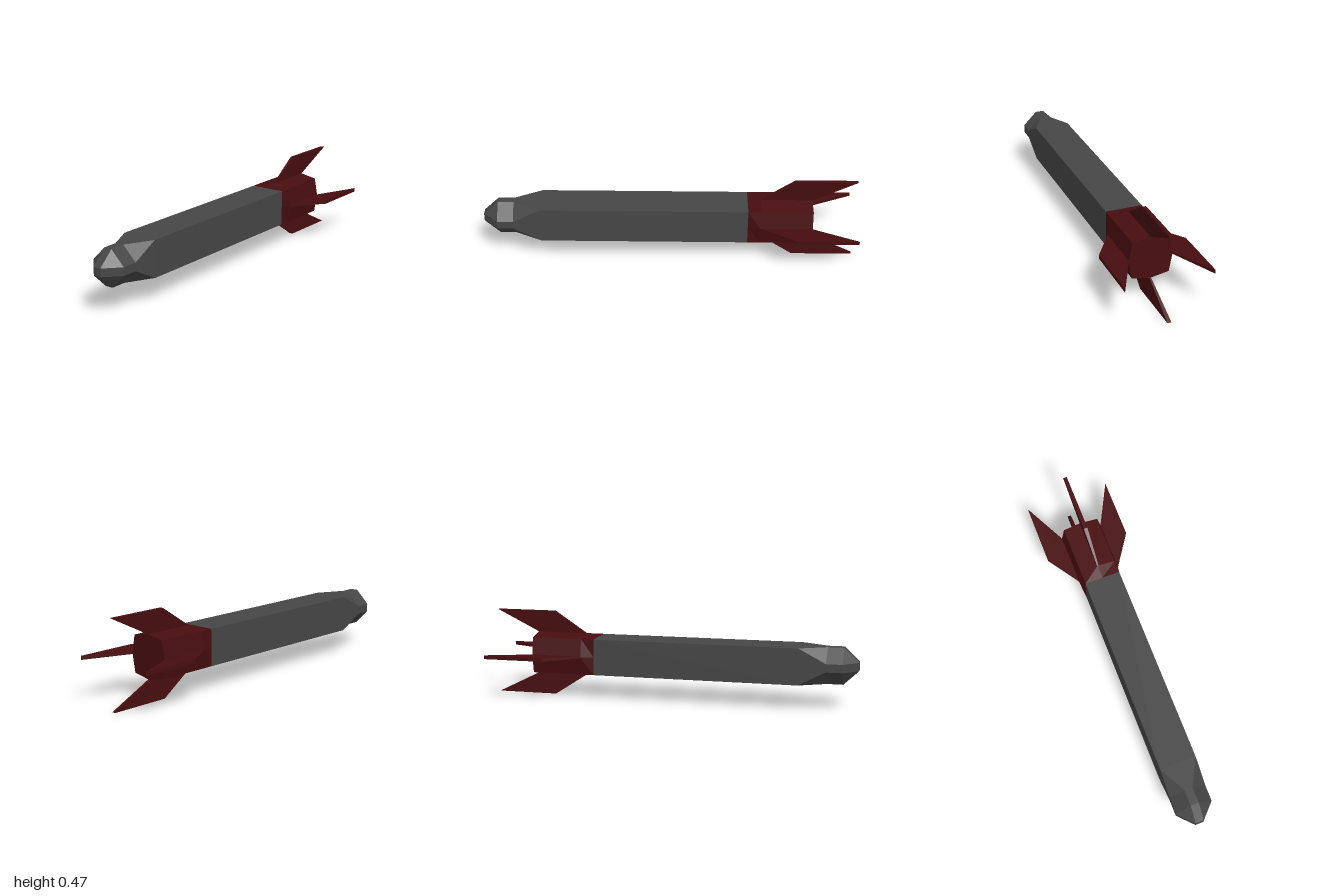
import * as THREE from 'three';

// Skin matching closed rings of points (counter-clockwise seen from the last ring) and cap both ends
function loft(rings) {
  const pos = [];
  const tri = (a, b, c) => {
    const area = b.clone().sub(a).cross(c.clone().sub(a)).length();
    if (area > 1e-8) pos.push(...a.toArray(), ...b.toArray(), ...c.toArray());
  };
  const n = rings[0].length;
  for (let k = 0; k < rings.length - 1; k++) {
    const r0 = rings[k], r1 = rings[k + 1];
    for (let i = 0; i < n; i++) {
      const j = (i + 1) % n;
      tri(r0[i], r0[j], r1[j]);
      tri(r0[i], r1[j], r1[i]);
    }
  }
  const first = rings[0], last = rings[rings.length - 1];
  for (let i = 1; i < n - 1; i++) {
    tri(first[0], first[i + 1], first[i]);
    tri(last[0], last[i], last[i + 1]);
  }
  const g = new THREE.BufferGeometry();
  g.setAttribute('position', new THREE.Float32BufferAttribute(pos, 3));
  g.computeVertexNormals();
  return g;
}

const v = (x, y, z) => new THREE.Vector3(x, y, z);

// Square section with cut corners: a = half width, b = half length of each flat side
const cutSquare = (z, a, b) => [
  v(a, -b, z), v(a, b, z), v(b, a, z), v(-b, a, z),
  v(-a, b, z), v(-a, -b, z), v(-b, -a, z), v(b, -a, z),
];

// Square section with the middle of each side pushed out to m
const bulgedSquare = (z, a, m) => [
  v(m, 0, z), v(a, a, z), v(0, m, z), v(-a, a, z),
  v(-m, 0, z), v(-a, -a, z), v(0, -m, z), v(a, -a, z),
];

export function createModel() {
  const model = new THREE.Group();
  const grey = new THREE.MeshStandardMaterial({ color: 0x464646 });
  grey.name = 'dark grey';
  const red = new THREE.MeshStandardMaterial({ color: 0x470d10 });
  red.name = 'dark red';

  const rocket = new THREE.Group();
  rocket.name = 'rocket';
  rocket.position.y = 0.2325;
  model.add(rocket);

  const add = (name, geometry, material) => {
    const mesh = new THREE.Mesh(geometry, material);
    mesh.name = name;
    rocket.add(mesh);
    return mesh;
  };

  // Long square body with chamfered corners and a blunt nose
  const h = 0.098, s = 0.022;
  add('body', loft([
    cutSquare(-0.42, h, h),
    cutSquare(0.69, h, h),
    cutSquare(0.835, h, s),
    cutSquare(0.92, h, s),
    cutSquare(1, s, s),
  ]), grey);

  // Tail section swelling out of the square body
  add('tail', loft([
    bulgedSquare(-0.765, h, 0.116),
    bulgedSquare(-0.49, h, 0.116),
    bulgedSquare(-0.42, h, h),
  ]), red);

  // Four swept fins, thicker at the tip, with roots sunk into the tail
  const finSection = (r, t, lead, trail) => [v(t, r, lead), v(t, r, trail), v(-t, r, trail), v(-t, r, lead)];
  const fin = loft([
    finSection(0.09, 0.003, -0.45, -0.715),
    finSection(0.2325, 0.0105, -0.67, -1),
  ]);
  ['topFin', 'rightFin', 'bottomFin', 'leftFin'].forEach((name, i) => {
    add(name, fin, red).rotation.z = i * Math.PI / 2;
  });

  return model;
}
